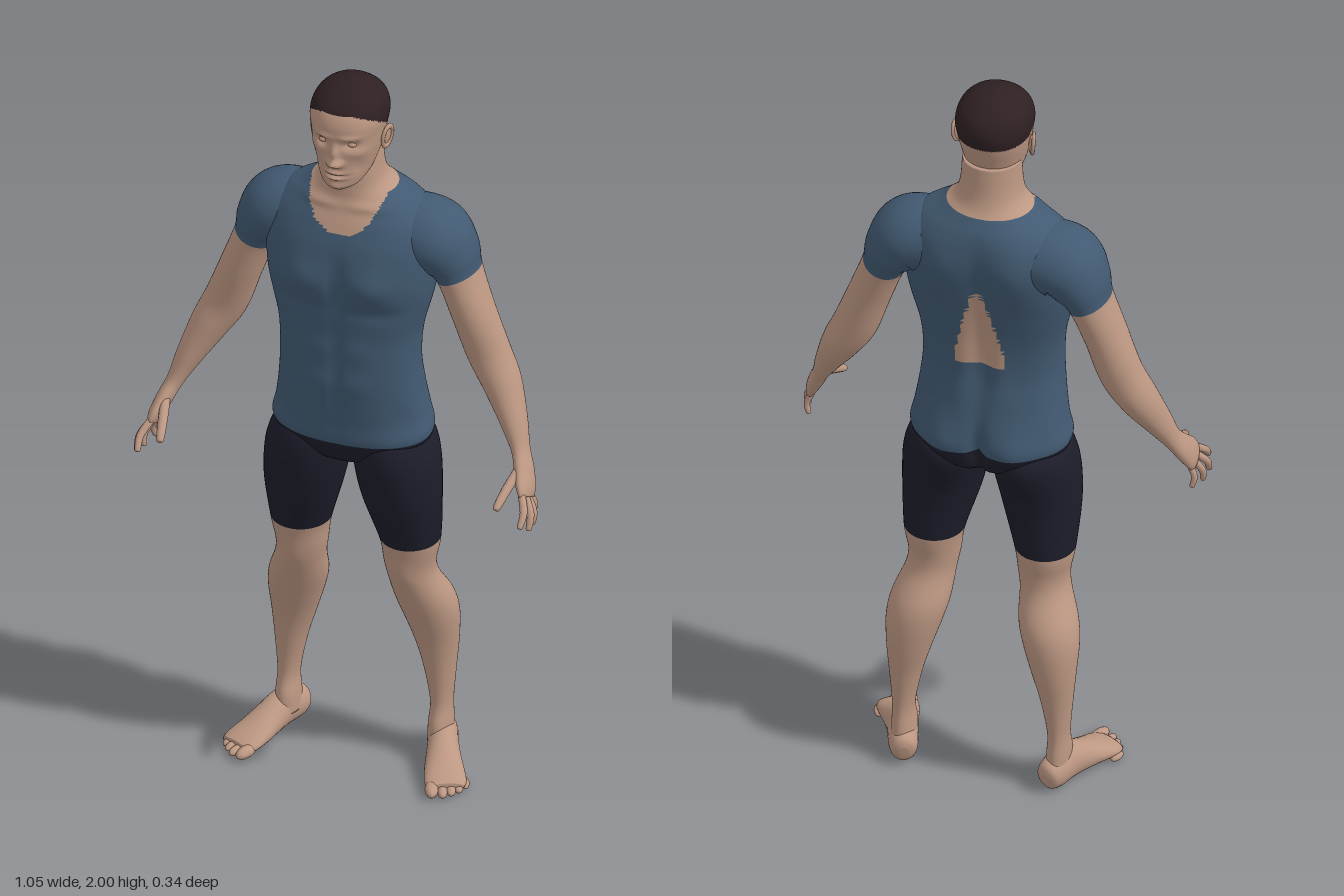
import * as THREE from 'three';

const material = (name, color) => {
  const m = new THREE.MeshStandardMaterial({ color });
  m.name = name;
  return m;
};

const SKIN = 0, SHIRT = 1, SHORTS = 2, HAIR = 3;

// Catmull-Rom blend of whole section rows
function blend(rows, i, t) {
  const at = k => rows[Math.min(Math.max(k, 0), rows.length - 1)];
  const [a, b, c, d] = [at(i - 1), at(i), at(i + 1), at(i + 2)];
  return b.map((_, k) => 0.5 * (2 * b[k] + (c[k] - a[k]) * t +
    (2 * a[k] - 5 * b[k] + 4 * c[k] - d[k]) * t * t + (3 * b[k] - a[k] - 3 * c[k] + d[k]) * t * t * t));
}

// Skin a smooth closed surface over rows of [x, y, z, radiusU, radiusZ, squareness].
// Upright rings stay horizontal; otherwise rings follow the path.
function loft(rows, { per = 6, segs = 32, upright = false, side = 1, shape = null, paint = () => SKIN } = {}) {
  const rings = [];
  for (let i = 0; i < rows.length - 1; i++)
    for (let j = 0; j < per; j++) rings.push(blend(rows, i, j / per));
  rings.push(rows[rows.length - 1]);
  const centres = rings.map(r => new THREE.Vector3(r[0], r[1], r[2]));
  const pts = [];
  rings.forEach((r, i) => {
    const u = new THREE.Vector3(1, 0, 0), w = new THREE.Vector3(0, 0, 1);
    if (!upright) {
      const t = centres[Math.min(i + 1, rings.length - 1)].clone().sub(centres[Math.max(i - 1, 0)]).normalize();
      w.addScaledVector(t, -w.dot(t)).normalize();
      u.crossVectors(t, w);
    }
    for (let k = 0; k < segs; k++) {
      const a = k / segs * Math.PI * 2, e = 2 / (r[5] ?? 2);
      const c = Math.cos(a), s = Math.sin(a);
      const p = centres[i].clone()
        .addScaledVector(u, r[3] * Math.sign(c) * Math.abs(c) ** e)
        .addScaledVector(w, r[4] * Math.sign(s) * Math.abs(s) ** e);
      if (shape) shape(p);
      pts.push(p);
    }
  });
  const last = rings.length - 1;
  pts.push(centres[0].clone(), centres[last].clone());
  pts.forEach(p => { p.x *= side; });

  const tris = [];
  for (let k = 0; k < segs; k++) {
    const n = (k + 1) % segs, top = last * segs;
    for (let i = 0; i < last; i++) {
      const a = i * segs + k, b = i * segs + n, v = (i + 0.5) / per;
      tris.push([a, a + segs, b, v], [b, a + segs, b + segs, v]);
    }
    tris.push([pts.length - 2, k, n, 0], [pts.length - 1, top + n, top + k, last / per]);
  }
  // Turn all faces outward, then sort them by colour
  let volume = 0;
  const cross = new THREE.Vector3();
  tris.forEach(([a, b, c]) => { volume += pts[a].dot(cross.crossVectors(pts[b], pts[c])); });
  const bins = [[], [], [], []];
  for (const [a, b, c, v] of tris) {
    const mid = pts[a].clone().add(pts[b]).add(pts[c]).divideScalar(3);
    bins[paint(mid, v)].push(...(volume > 0 ? [a, b, c] : [a, c, b]));
  }
  const g = new THREE.BufferGeometry().setFromPoints(pts);
  g.setIndex(bins.flat());
  let start = 0;
  bins.forEach((bin, m) => {
    if (bin.length) g.addGroup(start, bin.length, m);
    start += bin.length;
  });
  g.computeVertexNormals();
  return g;
}

// Mirrored soft bumps [x, y, width, height, depth], pushed along z on the front (+1) or back (-1)
const bumps = (front, back) => p => {
  const x = Math.abs(p.x), list = p.z > 0 ? front : back;
  let d = 0;
  for (const [bx, by, rx, ry, amount] of list)
    d += amount * Math.exp(-(((x - bx) / rx) ** 2) - ((p.y - by) / ry) ** 2);
  p.z += d * Math.sign(p.z) * Math.min(1, Math.abs(p.z) / 0.05);
};

// Horizontal section from its extents
const slab = ([y, outer, inner, front, back, n = 2]) =>
  [(outer + inner) / 2, y, (front + back) / 2, (outer - inner) / 2, (front - back) / 2, n];

export function createModel() {
  const model = new THREE.Group();
  model.name = 'athlete';
  const materials = [material('skin', 0xbd9883), material('shirtBlue', 0x425a72),
    material('shortsNavy', 0x1d1d2b), material('hairBrown', 0x2e2023)];
  const add = (name, geometry, parent = model) => {
    const mesh = new THREE.Mesh(geometry, materials);
    mesh.name = name;
    parent.add(mesh);
    return mesh;
  };

  // Torso and neck: shorts, shirt with a rounded V neck and an open back
  const torso = [[.895, .07, .03, -.07], [.93, .165, .08, -.135], [.99, .203, .105, -.15, 2.3],
    [1.05, .194, .108, -.15, 2.3], [1.13, .182, .113, -.135, 2.4], [1.21, .176, .113, -.12, 2.5],
    [1.3, .182, .11, -.125, 2.5], [1.4, .206, .114, -.142, 2.5], [1.47, .216, .116, -.155, 2.5],
    [1.55, .22, .106, -.163, 2.4], [1.61, .21, .085, -.16, 2.2], [1.65, .175, .068, -.15],
    [1.68, .125, .058, -.132], [1.71, .09, .055, -.112], [1.75, .078, .055, -.1], [1.82, .074, .05, -.092]]
    .map(([y, w, f, b, n]) => slab([y, w, -w, f, b, n]));
  const torsoPaint = (p, v) => {
    const x = Math.abs(p.x), t = (p.y - 1.24) / .26;
    if (v < 2) return SHORTS;
    if (p.y > 1.69 || (p.z > 0 && p.y > 1.597 + .09 * (x / .1) ** 3)) return SKIN;
    if (p.z < 0 && t > 0 && t < 1 && x < .066 * (1 - t ** 1.5)) return SKIN;
    return SHIRT;
  };
  add('torso', loft(torso, {
    per: 8, segs: 112, upright: true, paint: torsoPaint,
    shape: bumps(
      [[.09, 1.465, .06, .05, .016], [0, 1.46, .018, .07, -.01], [.1, 1.385, .07, .02, -.006],
        [0, 1.2, .012, .14, -.005], [.05, 1.27, .04, .03, .004], [.05, 1.17, .04, .03, .004],
        [.16, 1.06, .03, .05, -.006], [.07, 1.665, .06, .012, .006]],
      [[0, 1.35, .025, .2, -.014], [.1, 1.55, .06, .08, .014], [.09, .995, .06, .06, .02],
        [0, .98, .016, .08, -.025], [.05, 1.22, .03, .1, .006]])
  }));

  // Head with sculpted face and close-cropped hair
  const head = [[1.737, .022, .1, .055], [1.75, .048, .109, .005], [1.77, .063, .112, -.045],
    [1.8, .074, .114, -.075], [1.84, .084, .114, -.09], [1.88, .091, .114, -.102], [1.92, .096, .113, -.107],
    [1.955, .087, .098, -.096], [1.98, .064, .07, -.07], [1.994, .036, .038, -.042], [2, .004, .002, -.006]]
    .map(([y, w, f, b]) => slab([y, w, -w, f, b, 2.15]));
  add('head', loft(head, {
    per: 9, segs: 112, upright: true,
    paint: p => p.y > 1.887 + THREE.MathUtils.clamp((p.z + .01) * .62, 0, .064) ? HAIR : SKIN,
    shape: bumps(
      [[.036, 1.872, .017, .011, -.014], [.035, 1.894, .028, .007, .006], [0, 1.823, .012, .011, .021],
        [0, 1.85, .009, .022, .016], [.014, 1.82, .008, .008, .012], [0, 1.792, .024, .005, .009],
        [0, 1.776, .021, .005, .009], [0, 1.784, .027, .003, -.005], [0, 1.75, .022, .012, .007],
        [.058, 1.848, .02, .014, .006], [.055, 1.805, .016, .022, -.006]], [])
  }));

  // Path sections of one arm, from the shoulder down to the knuckles
  const arm = [[.13, 1.565, -.05, .09, .098], [.2, 1.555, -.05, .093, .103], [.242, 1.51, -.055, .075, .09],
    [.265, 1.46, -.055, .056, .075], [.302, 1.36, -.05, .054, .063], [.342, 1.25, -.05, .056, .053],
    [.382, 1.175, -.038, .049, .053], [.424, 1.09, -.008, .034, .041], [.452, 1.025, .018, .022, .031],
    [.47, .985, .042, .021, .036], [.484, .95, .068, .018, .042], [.49, .93, .08, .012, .038]];
  const fingers = [ // base, bend, tip
    ['thumb', [.462, .99, .062], [.45, .962, .115], [.441, .935, .158], .012],
    ['indexFinger', [.486, .946, .102], [.502, .918, .132], [.501, .89, .156], .0095],
    ['middleFinger', [.492, .934, .088], [.512, .902, .11], [.513, .87, .126], .0095],
    ['ringFinger', [.492, .926, .07], [.51, .892, .082], [.509, .863, .088], .009],
    ['littleFinger', [.487, .926, .05], [.5, .895, .048], [.495, .868, .044], .008]];

  // Horizontal sections of one leg: height, outer, inner, front, back
  const leg = [[1, .18, .02, .08, -.13], [.96, .208, .008, .094, -.145], [.9, .224, .008, .096, -.136],
    [.8, .228, .028, .08, -.118], [.67, .219, .066, .043, -.117], [.6, .207, .076, .028, -.108],
    [.55, .212, .084, .018, -.116], [.48, .238, .09, -.004, -.154], [.42, .247, .105, -.025, -.166],
    [.34, .243, .13, -.05, -.163], [.26, .236, .153, -.063, -.153], [.16, .228, .172, -.068, -.146],
    [.1, .23, .17, -.052, -.152], [.05, .23, .168, -.05, -.158]].map(slab);

  // Foot sections from heel to ball, toes as [across, end, radius]
  const foot = [[0, .04, -.038, .012, .018], [0, .042, -.028, .03, .036], [0, .048, 0, .037, .046],
    [0, .052, .05, .038, .05], [0, .041, .1, .043, .04], [.002, .029, .15, .05, .028],
    [.005, .021, .19, .052, .019], [.007, .018, .212, .044, .012]];
  const toes = [[-.03, .25, .017], [-.003, .246, .0125], [.018, .236, .012], [.037, .222, .0115], [.053, .203, .011]];
  const turn = new THREE.Matrix4().makeRotationY(.36).setPosition(.195, 0, -.128);

  for (const side of [1, -1]) {
    const prefix = side > 0 ? 'left' : 'right';
    const armGroup = new THREE.Group(), legGroup = new THREE.Group();
    armGroup.name = prefix + 'ArmGroup';
    legGroup.name = prefix + 'LegGroup';
    model.add(armGroup, legGroup);

    add(prefix + 'Arm', loft(arm, { per: 7, segs: 40, side, paint: (p, v) => v < 3 ? SHIRT : SKIN }), armGroup);
    for (const [name, base, bend, tip, r] of fingers) {
      const end = tip.map((t, k) => t + (t - bend[k]) * .15);
      add(prefix + name, loft([[...base, r, r], [...bend, r, r], [...tip, r * .8, r * .8], [...end, r * .3, r * .3]],
        { per: 4, segs: 12, side }), armGroup);
    }

    add(prefix + 'Leg', loft(leg, {
      per: 6, segs: 48, upright: true, side, paint: (p, v) => v < 4 ? SHORTS : SKIN,
      shape: bumps([[.14, .58, .03, .035, .008]], [[.09, .93, .06, .05, .012]])
    }), legGroup);

    // The foot is turned outward, then mirrored
    const place = (x, y, z) => new THREE.Vector3(x, y, z).applyMatrix4(turn);
    const footRows = foot.map(([x, y, z, rx, ry]) => [...place(x, y, z).toArray(), ry, rx]);
    const footPath = { per: 5, segs: 28, side: 1 };
    const flat = loft(foot.map(([x, y, z, rx, ry]) => [z, x, y, rx, ry]), footPath);
    const swap = new THREE.Matrix4().set(0, 1, 0, 0, 0, 0, 1, 0, 1, 0, 0, 0, 0, 0, 0, 1);
    const finish = g => {
      g.applyMatrix4(turn);
      if (side < 0) {
        g.scale(-1, 1, 1);
        const ix = g.index.array;
        for (let i = 0; i < ix.length; i += 3) [ix[i], ix[i + 1]] = [ix[i + 1], ix[i]];
        g.computeVertexNormals();
      }
      return g;
    };
    if (footRows.length) add(prefix + 'Foot', finish(flat.applyMatrix4(swap)), legGroup);
    toes.forEach(([x, z, r], i) => {
      const g = new THREE.SphereGeometry(r, 14, 10).scale(1, .9, 2).translate(x, r * .95, z - r * 2);
      g.clearGroups();
      g.addGroup(0, g.index.count, SKIN);
      add(prefix + 'Toe' + (i + 1), finish(g), legGroup);
    });

    // Ear: shell and rim
    const ear = new THREE.Group();
    ear.name = prefix + 'Ear';
    ear.position.set(side * .094, 1.856, .002);
    ear.rotation.set(-.15, side * -.3, side * -.12);
    model.add(ear);
    const rim = new THREE.Mesh(new THREE.TorusGeometry(.018, .005, 8, 24).rotateY(Math.PI / 2).scale(1, 1.55, 1), materials[SKIN]);
    const shell = new THREE.Mesh(new THREE.SphereGeometry(1, 16, 12).scale(.007, .029, .018), materials[SKIN]);
    rim.name = 'earRim';
    shell.name = 'earShell';
    rim.position.x = side * .004;
    ear.add(rim, shell);

    // Closed eye bulge in the socket
    const eye = new THREE.Mesh(new THREE.SphereGeometry(1, 16, 12).scale(.014, .008, .01), materials[SKIN]);
    eye.name = prefix + 'Eye';
    eye.position.set(side * .036, 1.871, .09);
    model.add(eye);
  }
  return model;
}
